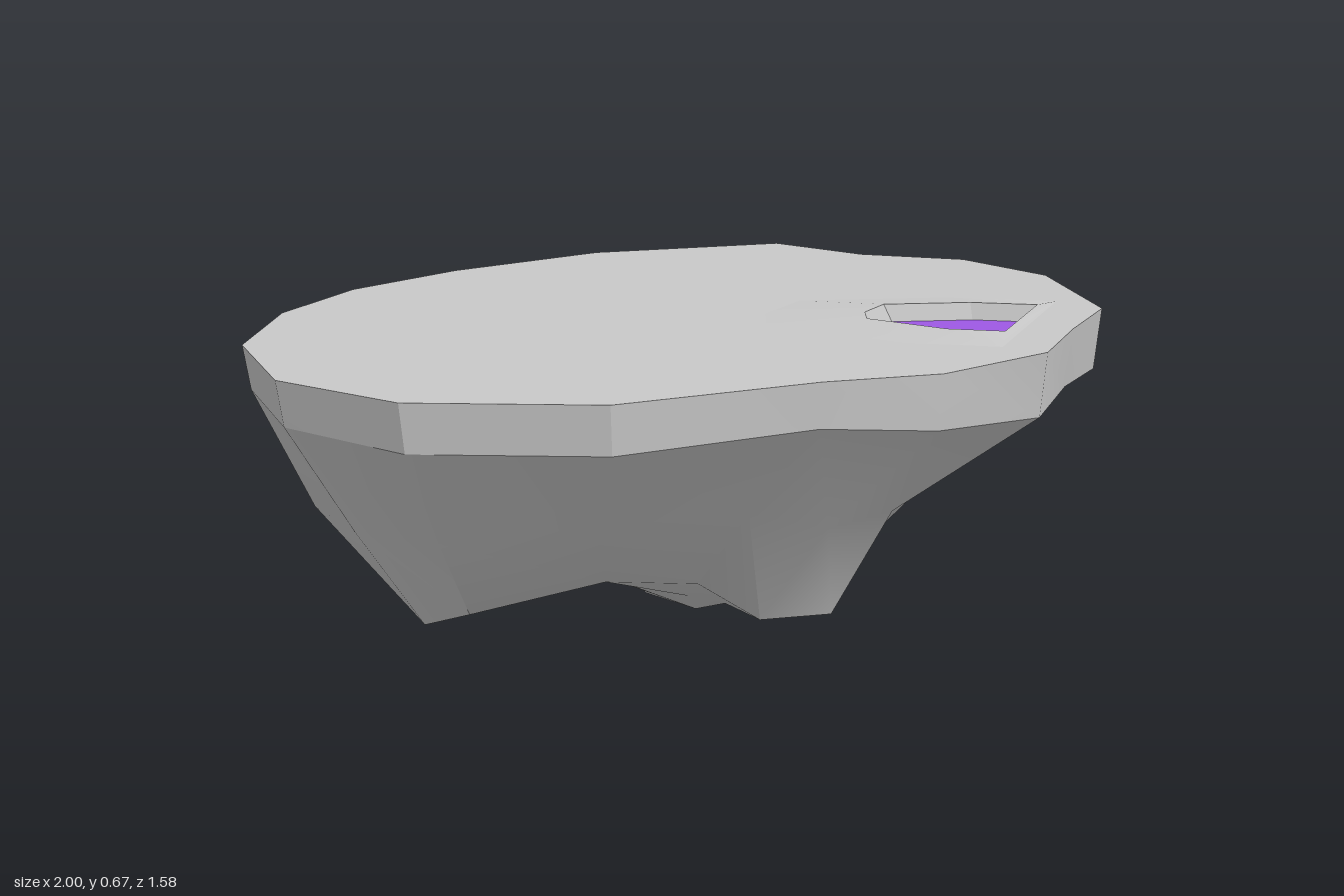
import * as THREE from 'three';
import { toCreasedNormals } from 'three/addons/utils/BufferGeometryUtils.js';

const TOP = 0.66;

// Outline of the plateau: x, z and the height of the rim's lower edge
const outline = [
  [0.05, -0.79, 0.57], [0.47, -0.75, 0.57], [0.89, -0.53, 0.55], [0.895, -0.26, 0.55],
  [1, -0.03, 0.595], [0.94, 0.25, 0.57], [0.66, 0.59, 0.53], [0.42, 0.68, 0.54],
  [0.18, 0.785, 0.53], [-0.12, 0.765, 0.55], [-0.33, 0.65, 0.57], [-0.73, 0.51, 0.565],
  [-0.97, 0.23, 0.565], [-1, -0.08, 0.57], [-0.84, -0.4, 0.57], [-0.57, -0.63, 0.57],
  [-0.28, -0.755, 0.57],
];

// Underside cross-sections (x, y, z), one point below each outline point
const waist = [
  [0.02, 0.33, -0.48], [0.26, 0.35, -0.41], [0.48, 0.29, -0.34], [0.5, 0.3, -0.17],
  [0.53, 0.31, -0.02], [0.5, 0.3, 0.13], [0.42, 0.32, 0.34], [0.27, 0.32, 0.43],
  [0.11, 0.3, 0.47], [-0.08, 0.3, 0.46], [-0.27, 0.36, 0.42], [-0.59, 0.38, 0.33],
  [-0.82, 0.36, 0.15], [-0.83, 0.34, -0.08], [-0.74, 0.33, -0.32], [-0.5, 0.29, -0.56],
  [-0.24, 0.31, -0.54],
];
const foot = [
  [0.04, 0.02, -0.19], [0.06, 0, -0.18], [0.26, 0.1, -0.17], [0.35, 0.11, -0.1],
  [0.37, 0.1, -0.02], [0.36, 0.1, 0.03], [0.26, 0.09, 0.13], [0.12, 0.085, 0.26],
  [0.03, 0.08, 0.38], [-0.1, 0.08, 0.3], [-0.22, 0.17, 0.24], [-0.43, 0.21, 0.19],
  [-0.67, 0.17, 0.06], [-0.69, 0.13, -0.05], [-0.6, 0.16, -0.2], [-0.42, 0.19, -0.33],
  [-0.12, 0.12, -0.24],
];
const tip = [0.05, 0, -0.02];
// Raised hollows around the lowest tip
const hollow = {
  2: [0.18, 0.06, -0.13], 3: [0.2, 0.06, -0.1], 4: [0.2, 0.06, -0.03], 5: [0.2, 0.065, 0.02],
  6: [0.17, 0.065, 0.08], 7: [0.1, 0.065, 0.14], 8: [0.05, 0.065, 0.15], 9: [-0.03, 0.065, 0.14],
  10: [-0.08, 0.08, 0.08], 11: [-0.2, 0.15, 0.03], 12: [-0.28, 0.16, -0.02], 13: [-0.28, 0.16, -0.05],
  14: [-0.25, 0.16, -0.1], 15: [-0.2, 0.15, -0.14], 16: [-0.06, 0.07, -0.12],
};

// Pit corners (x, z)
const pit = [
  [0.19, 0.33], [0.245, 0.28], [0.345, 0.25], [0.49, 0.37], [0.565, 0.49], [0.27, 0.62], [0.21, 0.52],
];

// Skin between closed rings listed from top to bottom, with an optional end point
function loft(rings, end) {
  const pos = [];
  const n = rings[0].length;
  for (let r = 0; r < rings.length; r++) {
    for (let i = 0; i < n; i++) {
      const j = (i + 1) % n;
      const a = rings[r][i], b = rings[r][j];
      if (r + 1 < rings.length) {
        const c = rings[r + 1][i], d = rings[r + 1][j];
        pos.push(...a, ...b, ...c, ...b, ...d, ...c);
      } else if (end) pos.push(...a, ...b, ...end);
    }
  }
  const g = new THREE.BufferGeometry();
  g.setAttribute('position', new THREE.Float32BufferAttribute(pos, 3));
  g.computeVertexNormals();
  return g;
}

// Horizontal polygon at height y, facing up, with an optional hole
function plate(points, y, hole) {
  const toV = (p) => new THREE.Vector2(p[0], -p[1]);
  const shape = new THREE.Shape(points.map(toV));
  if (hole) shape.holes.push(new THREE.Path(hole.map(toV)));
  return new THREE.ShapeGeometry(shape).rotateX(-Math.PI / 2).translate(0, y, 0);
}

// Pit outline scaled about a point near its front edge
const scalePit = (s) => pit.map(([x, z]) => [0.42 + (x - 0.42) * s, 0.52 + (z - 0.52) * s]);
const atHeight = (points, y) => points.map(([x, z]) => [x, y, z]);

export function createModel() {
  const group = new THREE.Group();
  group.name = 'floatingIsland';
  const stone = new THREE.MeshStandardMaterial({ color: 0xc8c8c8 });
  stone.name = 'stone grey';
  const purple = new THREE.MeshStandardMaterial({ color: 0x9d58e4 });
  purple.name = 'purple';

  const add = (name, geometry, material) => {
    const mesh = new THREE.Mesh(geometry, material);
    mesh.name = name;
    group.add(mesh);
  };

  // Rim band
  const rimTop = atHeight(outline, TOP);
  const rimBottom = outline.map(([x, z, y]) => [x * 0.985, y, z * 0.985]);
  add('rim', toCreasedNormals(loft([rimTop, rimBottom]), 0.5), stone);

  // Tapering rocky underside
  const inner = foot.map((p, i) => hollow[i] || p.map((v, k) => (v + tip[k]) / 2));
  add('underside', toCreasedNormals(loft([rimBottom, waist, foot, inner], tip), 0.8), stone);

  // Plateau with a low mound around the pit
  const moundEdge = scalePit(1.7);
  add('plateau', plate(outline, TOP, moundEdge), stone);
  add('mound', toCreasedNormals(loft([atHeight(pit, 0.668), atHeight(moundEdge, TOP)]), 0.5), stone);

  // Pit walls and coloured floor
  const floor = scalePit(0.93);
  add('pitWall', loft([atHeight(floor, 0.632), atHeight(pit, 0.668)]), stone);
  add('pitFloor', plate(floor, 0.632), purple);

  return group;
}
